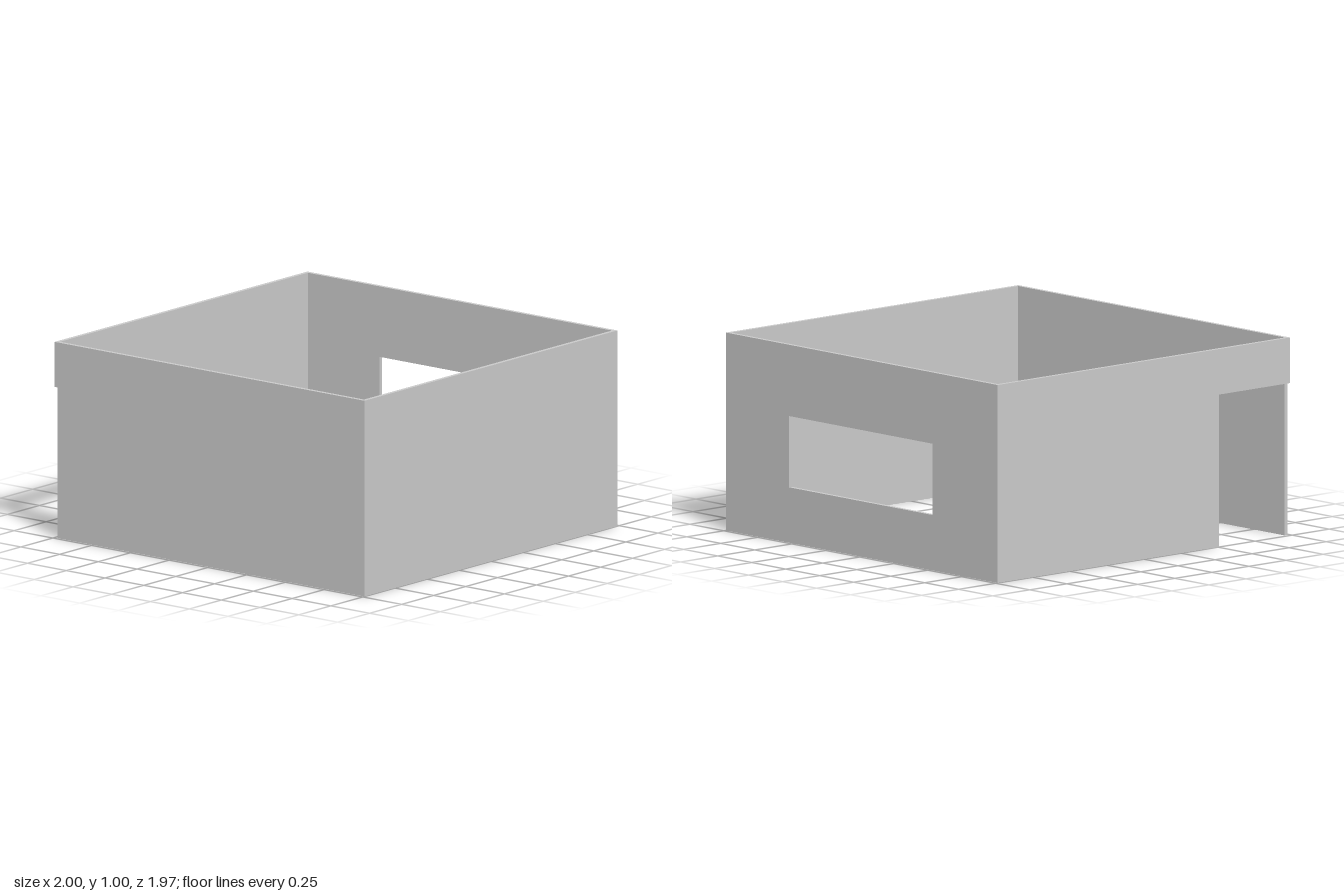
import * as THREE from 'three';

const W = 1, D = 0.987, H = 1, T = 0.02; // half width, half depth, height, wall thickness

const material = new THREE.MeshStandardMaterial({ color: 0xcccccc, flatShading: true });

const polygon = (points) => points.map(([x, y]) => new THREE.Vector2(x, y));
const rectangle = (x0, x1, y0, y1) => polygon([[x0, y0], [x1, y0], [x1, y1], [x0, y1]]);

// Flat wall drawn in its own plane and extruded to the wall thickness
function wall(name, outline, holes = []) {
  const shape = new THREE.Shape(outline);
  shape.holes = holes.map((hole) => new THREE.Path(hole));
  const geometry = new THREE.ExtrudeGeometry(shape, { depth: T, bevelEnabled: false });
  const mesh = new THREE.Mesh(geometry, material);
  mesh.name = name;
  return mesh;
}

export function createModel() {
  const room = new THREE.Group();
  room.name = 'room';

  // Front and back walls fit between the side walls
  const inner = W - T;
  const front = wall('frontWall', rectangle(-inner, inner, 0, H));
  front.position.z = D - T;

  const back = wall('backWall', rectangle(-inner, inner, 0, H), [rectangle(-0.52, 0.535, 0.28, 0.64)]);
  back.position.z = -D;

  // Side walls: drawn with z running along the negative shape axis
  const left = wall('leftWall', rectangle(-D, D, 0, H));
  left.rotation.y = Math.PI / 2;
  left.position.x = W - T;

  // Right wall with a doorway reaching the front corner, under a lintel
  const doorZ = 0.505, doorTop = 0.77;
  const right = wall('rightWallWithDoorway', polygon([
    [-doorZ, 0], [D, 0], [D, H], [-D, H], [-D, doorTop], [-doorZ, doorTop],
  ]));
  right.rotation.y = Math.PI / 2;
  right.position.x = -W;

  room.add(front, back, left, right);
  return room;
}
